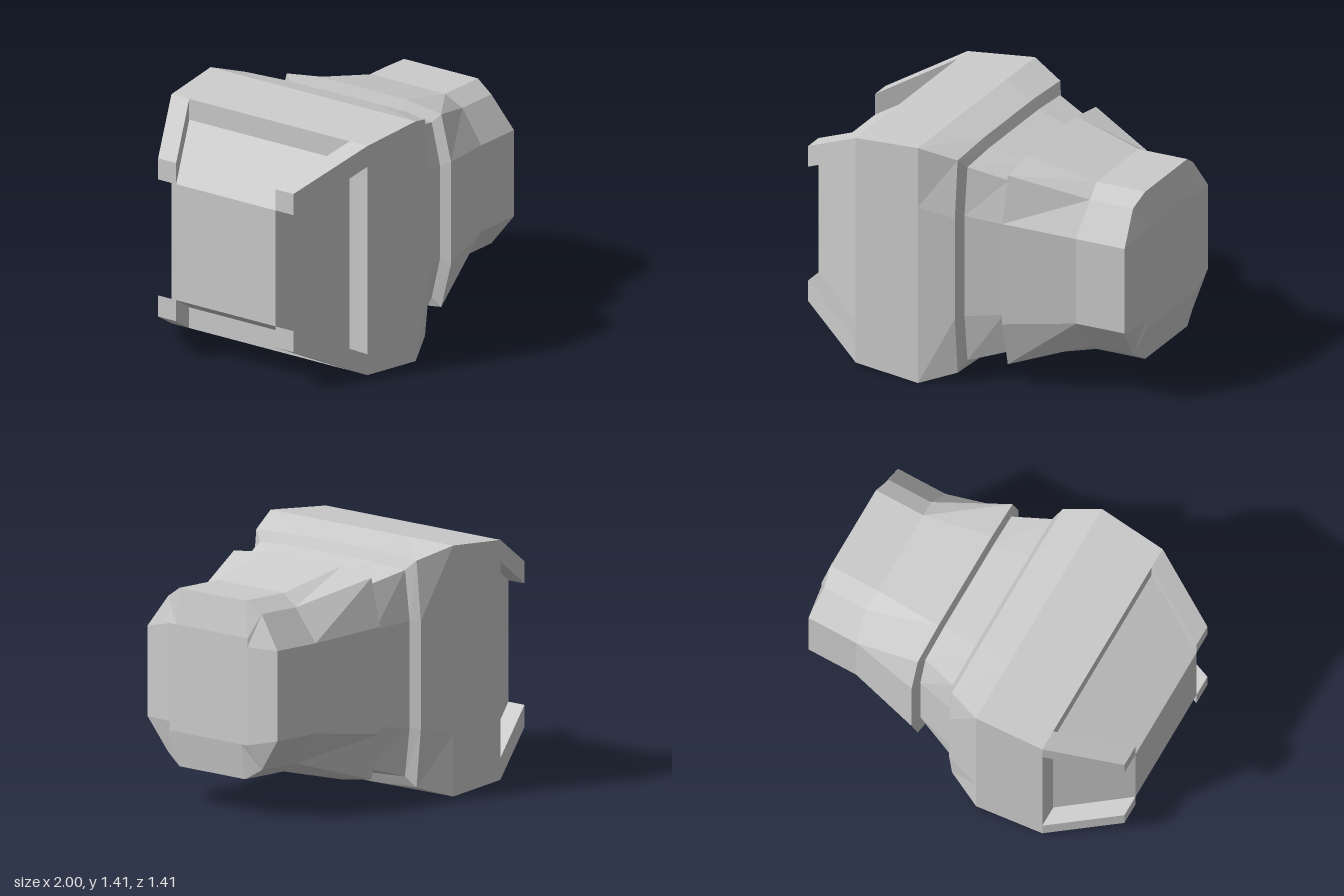
import * as THREE from 'three';

const MID = 0.703; // height of the long axis

// Skin a list of rings (ordered from -x to +x) and close both ends.
function loft(name, rings) {
  const n = rings[0].length;
  const pos = rings.flat(2);
  const idx = [];
  for (let r = 0; r < rings.length - 1; r++) {
    for (let i = 0; i < n; i++) {
      const j = (i + 1) % n;
      const a = r * n + i, b = r * n + j;
      idx.push(a, b, a + n, b, b + n, a + n);
    }
  }
  const last = (rings.length - 1) * n;
  for (let i = 1; i < n - 1; i++) {
    idx.push(0, i + 1, i);
    idx.push(last, last + i, last + i + 1);
  }
  const indexed = new THREE.BufferGeometry();
  indexed.setAttribute('position', new THREE.Float32BufferAttribute(pos, 3));
  indexed.setIndex(idx);
  const geo = indexed.toNonIndexed();
  geo.computeVertexNormals();
  const mat = new THREE.MeshStandardMaterial({ color: 0xcccccc, flatShading: true });
  const mesh = new THREE.Mesh(geo, mat);
  mesh.name = name;
  return mesh;
}

// Twelve-sided ring: half size h, flat half width m, corner (cy, cz) at cx.
function ring(x, h, m, cy = h, cz = h, cx = x) {
  const pts = [];
  for (const [sy, sz] of [[1, 1], [-1, 1], [-1, -1], [1, -1]]) {
    const q = [[x, h * sy, m * sz], [cx, cy * sy, cz * sz], [x, m * sy, h * sz]];
    if (sy * sz < 0) q.reverse();
    pts.push(...q);
  }
  return pts;
}

// Square ring of half size w centred at (y, z).
function square(x, w, y = 0, z = 0) {
  return [[x, y + w, z - w], [x, y + w, z + w], [x, y - w, z + w], [x, y - w, z - w]];
}

export function createModel() {
  const model = new THREE.Group();
  model.name = 'connector';
  const body = new THREE.Group();
  body.name = 'body';
  body.position.y = MID;
  model.add(body);

  // Wide housing, stepped neck, flared collar and blunt nose
  body.add(loft('housing', [
    ring(-0.6, 0.672, 0.34),
    ring(-0.2, 0.703, 0.35),
    ring(0, 0.65, 0.3, 0.635, 0.617),
    ring(0.03, 0.593, 0.3, 0.578, 0.557),
    ring(0.245, 0.537, 0.27, 0.512, 0.48),
    ring(0.265, 0.597, 0.3, 0.565, 0.53),
    ring(0.67, 0.5, 0.253, 0.437, 0.36, 0.685),
    ring(0.97, 0.5, 0.253, 0.437, 0.36, 0.95),
    ring(1, 0.3, 0.25),
  ]));

  // Tapered core behind the housing
  body.add(loft('core', [square(-1, 0.34), square(-0.6, 0.55)]));

  // Four corner prongs following the taper
  for (const sy of [1, -1]) {
    for (const sz of [1, -1]) {
      body.add(loft('cornerProng', [
        square(-1, 0.062, sy * 0.402, sz * 0.402),
        square(-0.6, 0.061, sy * 0.611, sz * 0.611),
      ]));
    }
  }
  return model;
}
